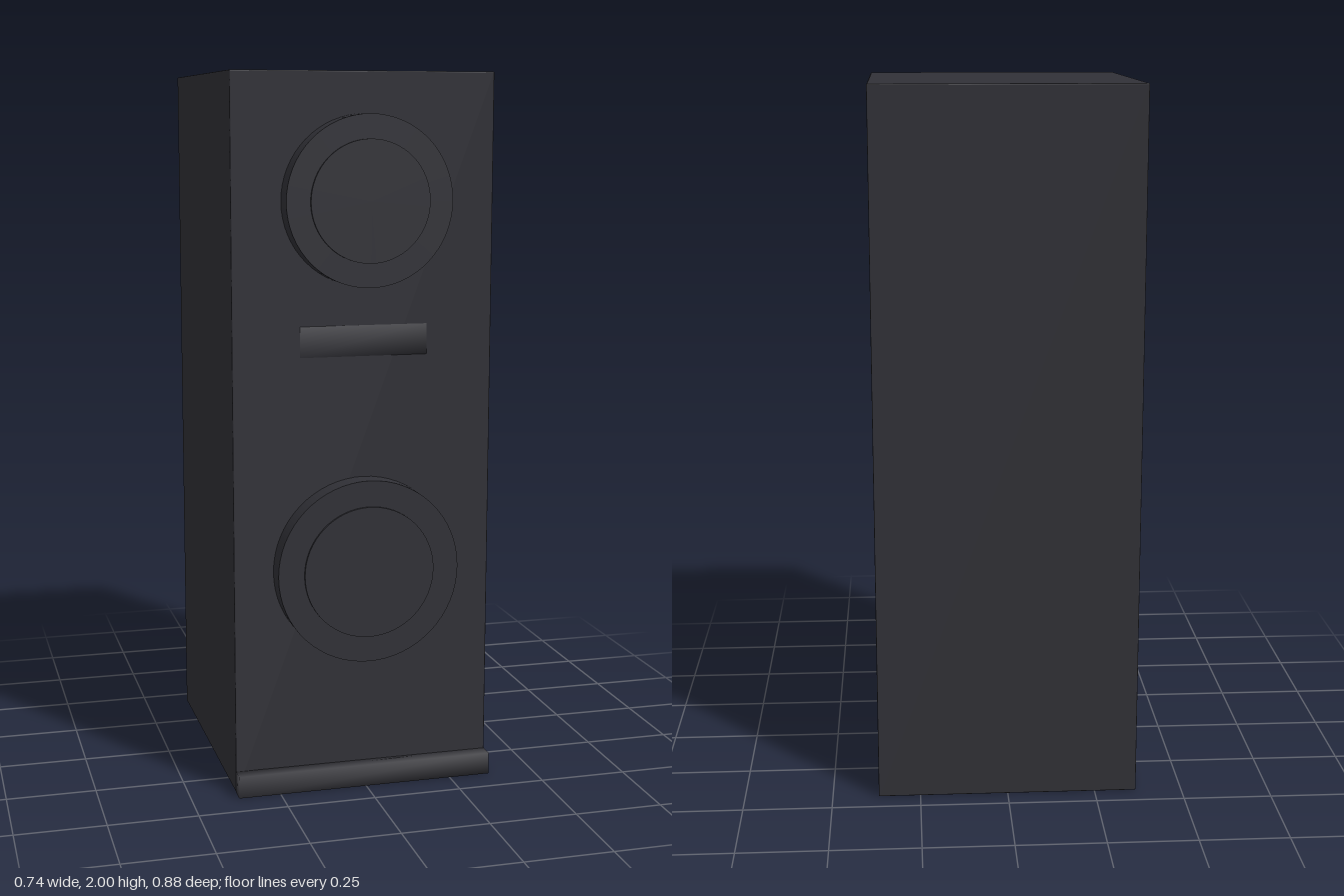
import * as THREE from 'three';
import { mergeVertices } from 'three/addons/utils/BufferGeometryUtils.js';
import { RoundedBoxGeometry } from 'three/addons/geometries/RoundedBoxGeometry.js';

const FRONT = 0.367; // z of the cabinet's front panel

export function createModel() {
  const model = new THREE.Group();
  model.name = 'floorSpeaker';
  const charcoal = new THREE.MeshStandardMaterial({ color: 0x313137 });
  charcoal.name = 'charcoal';

  function add(parent, name, geometry, x, y, z) {
    const mesh = new THREE.Mesh(geometry, charcoal);
    mesh.name = name;
    mesh.position.set(x, y, z);
    parent.add(mesh);
    return mesh;
  }

  // Box whose corners share softened normals
  function softBox(w, h, d) {
    const box = new THREE.BoxGeometry(w, h, d);
    box.deleteAttribute('normal');
    box.deleteAttribute('uv');
    const soft = mergeVertices(box);
    soft.computeVertexNormals();
    return soft;
  }

  // Disc facing the front, from z0 to z1
  function disc(parent, name, radius, z0, z1) {
    const geometry = new THREE.CylinderGeometry(radius, radius, z1 - z0, 64);
    geometry.rotateX(Math.PI / 2);
    add(parent, name, geometry, 0, 0, (z0 + z1) / 2);
  }

  // Cabinet
  add(model, 'cabinet', new RoundedBoxGeometry(0.738, 2, 0.805, 2, 0.003), 0, 1, FRONT - 0.4025);

  // Drivers: a broad ring with a thin raised cap
  for (const [name, y, ring, cap] of [
    ['upperDriver', 1.655, 0.232, 0.166],
    ['lowerDriver', 0.634, 0.258, 0.185],
  ]) {
    const driver = new THREE.Group();
    driver.name = name;
    driver.position.y = y;
    model.add(driver);
    disc(driver, name + 'Ring', ring, FRONT - 0.02, 0.431);
    disc(driver, name + 'Cap', cap, 0.42, 0.438);
  }

  // Name plate between the drivers, almost flush with the panel
  add(model, 'frontPlate', softBox(0.36, 0.085, 0.04), 0, 1.273, FRONT + 0.003 - 0.02);

  // Plinth strip along the front foot
  add(model, 'plinthStrip', softBox(0.738, 0.062, 0.05), 0, 0.031, 0.385);

  return model;
}
